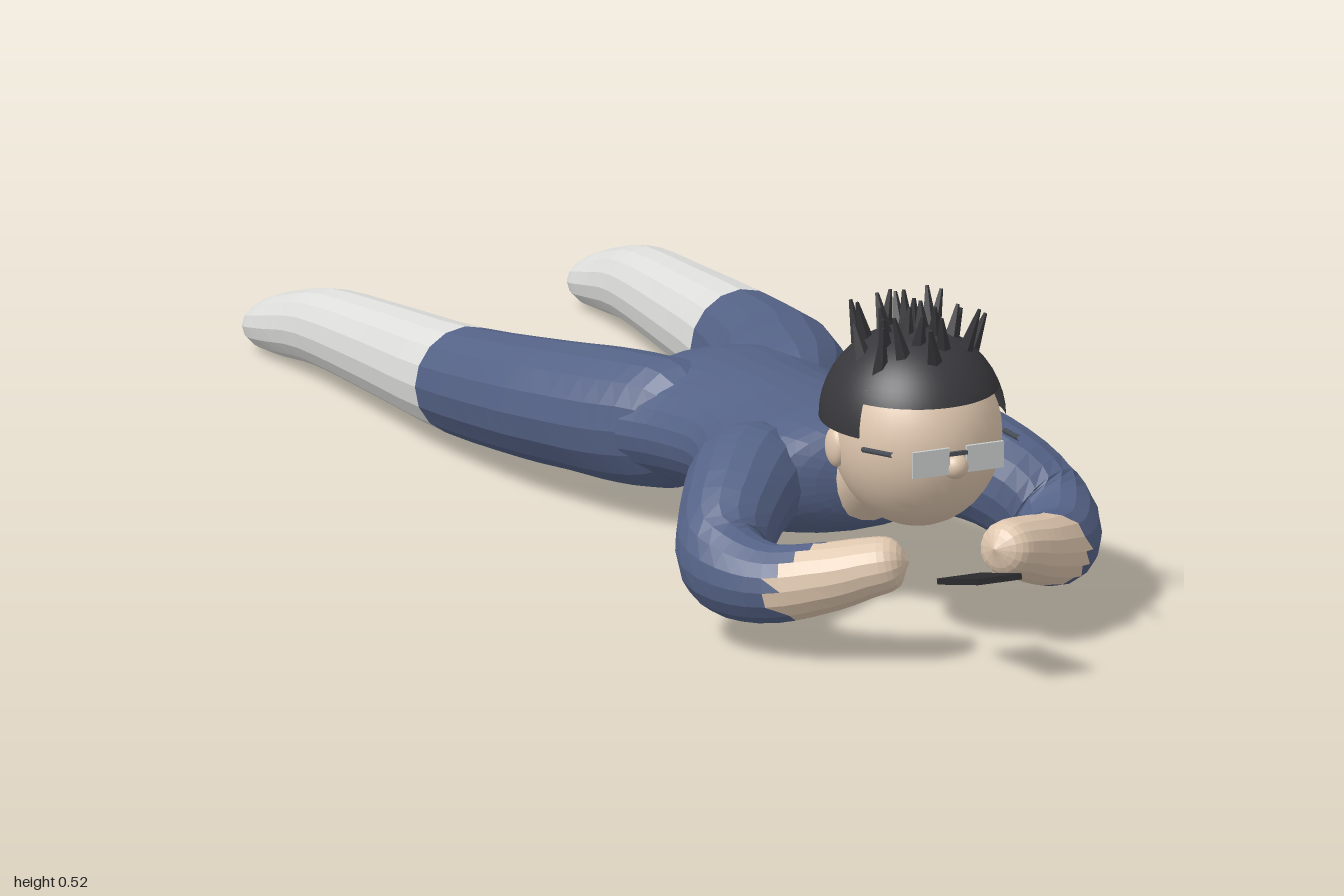
import * as THREE from 'three';

const mat = (name, color, double) => {
  const m = new THREE.MeshStandardMaterial({ color });
  m.name = name;
  if (double) m.side = THREE.DoubleSide;
  return m;
};

// Faceted loft through sections [cx, cy, cz, rx, ry]; rings follow the path when bend is true.
// Returns a list of triangles.
function loft(sections, sides, steps, bend) {
  const centres = new THREE.CatmullRomCurve3(sections.map(s => new THREE.Vector3(s[0], s[1], s[2])), false, 'catmullrom');
  const radii = new THREE.CatmullRomCurve3(sections.map(s => new THREE.Vector3(s[3], s[4], 0)), false, 'catmullrom');
  const n = (sections.length - 1) * steps;
  const sign = Math.sign(sections[sections.length - 1][2] - sections[0][2]);
  const rings = [];
  for (let i = 0; i <= n; i++) {
    const c = centres.getPoint(i / n), r = radii.getPoint(i / n);
    const t = bend ? centres.getTangent(i / n) : new THREE.Vector3(0, 0, sign);
    const s = new THREE.Vector3(0, 1, 0).cross(t).normalize();
    const u = t.clone().cross(s);
    const ring = [];
    for (let j = 0; j < sides; j++) {
      const a = (j / sides) * Math.PI * 2;
      ring.push(c.clone().addScaledVector(s, Math.cos(a) * Math.max(r.x, 0.001))
        .addScaledVector(u, Math.sin(a) * Math.max(r.y, 0.001)));
    }
    rings.push(ring);
  }
  const tris = [];
  for (let i = 0; i < n; i++) {
    for (let j = 0; j < sides; j++) {
      const k = (j + 1) % sides;
      const a = rings[i][j], b = rings[i][k], c = rings[i + 1][k], d = rings[i + 1][j];
      tris.push([a, b, c], [a, c, d]);
    }
  }
  return tris;
}

function trisToGeometry(tris) {
  const g = new THREE.BufferGeometry().setFromPoints(tris.flat());
  g.computeVertexNormals();
  return g;
}

export function createModel() {
  const model = new THREE.Group();
  model.name = 'lyingFigure';
  const suit = mat('blueSuit', 0x556387);
  const skin = mat('skin', 0xdec6ae);
  const sock = mat('paleSock', 0xdededc);
  const hair = mat('darkHair', 0x38383c, true);
  const phoneMat = mat('phoneBlack', 0x2b2b2e);
  const frame = mat('glassesFrame', 0x4a5058);
  const lens = mat('glassesLens', 0xcacccc);

  const add = (name, geometry, material, pos, scale, parent = model) => {
    const m = new THREE.Mesh(geometry, material);
    m.name = name;
    if (pos) m.position.set(...pos);
    if (scale) m.scale.set(...scale);
    parent.add(m);
    return m;
  };
  const ball = new THREE.SphereGeometry(1, 32, 20);

  // Torso: [z, half width, bottom, top]
  const torso = [
    [0.56, 0.001, 0.19, 0.20], [0.545, 0.09, 0.14, 0.255], [0.515, 0.17, 0.115, 0.28],
    [0.46, 0.22, 0.095, 0.287], [0.4, 0.215, 0.088, 0.283], [0.3, 0.17, 0.08, 0.273],
    [0.22, 0.155, 0.072, 0.267], [0.12, 0.17, 0.06, 0.258], [0.04, 0.195, 0.05, 0.252],
    [-0.02, 0.17, 0.055, 0.24], [-0.065, 0.11, 0.075, 0.215], [-0.09, 0.001, 0.135, 0.145],
  ].map(([z, w, b, t]) => [0, (b + t) / 2, z, w, (t - b) / 2]);
  add('torso', trisToGeometry(loft(torso, 28, 3)), suit);

  // Legs: [z, inner x, outer x, bottom, top]
  const leg = [
    [0.16, 0.06, 0.11, 0.12, 0.2], [0.08, 0.01, 0.178, 0.065, 0.25], [0, 0.01, 0.222, 0.05, 0.248],
    [-0.1, 0.035, 0.257, 0.045, 0.236], [-0.2, 0.083, 0.28, 0.039, 0.222], [-0.4, 0.14, 0.3, 0.026, 0.19],
    [-0.6, 0.168, 0.304, 0.022, 0.165], [-0.8, 0.19, 0.311, 0.018, 0.138], [-0.9, 0.198, 0.318, 0.006, 0.108],
    [-0.96, 0.2, 0.319, 0.001, 0.086], [-0.99, 0.215, 0.304, 0.012, 0.066], [-1, 0.259, 0.261, 0.038, 0.04],
  ];
  // Arms: [x, y, z, rx, ry] from shoulder to fingertips
  const arm = [
    [0.08, 0.2, 0.42, 0.05, 0.05], [0.15, 0.196, 0.46, 0.085, 0.084], [0.215, 0.17, 0.53, 0.078, 0.08],
    [0.262, 0.122, 0.605, 0.066, 0.072], [0.235, 0.11, 0.69, 0.057, 0.06], [0.175, 0.128, 0.755, 0.051, 0.053],
    [0.12, 0.148, 0.795, 0.047, 0.045], [0.085, 0.158, 0.818, 0.037, 0.036], [0.068, 0.161, 0.828, 0.001, 0.001],
  ];
  // Splits a limb into a suit part and an end part at a given z
  const limb = (names, tris, isEnd, endMat) => {
    const end = tris.filter(t => isEnd((t[0].z + t[1].z + t[2].z) / 3));
    const rest = tris.filter(t => !end.includes(t));
    add(names[0], trisToGeometry(rest), suit);
    add(names[1], trisToGeometry(end), endMat);
  };
  for (const m of [1, -1]) {
    const side = m > 0 ? 'left' : 'right';
    const legSections = leg.map(([z, i, o, b, t]) => [m * (i + o) / 2, (b + t) / 2, z, (o - i) / 2, (t - b) / 2]);
    limb([side + 'Leg', side + 'Sock'], loft(legSections, 16, 3), z => z < -0.4, sock);
    const armSections = arm.map(([x, ...r]) => [m * x, ...r]);
    limb([side + 'Sleeve', side + 'Hand'], loft(armSections, 16, 4, true), z => z > 0.75, skin);
  }

  // Head
  const neck = add('neck', new THREE.CylinderGeometry(0.055, 0.06, 0.14, 20), skin, [0, 0.225, 0.58]);
  neck.rotation.x = 1.0;
  add('head', ball, skin, [0, 0.315, 0.704], [0.124, 0.138, 0.132]);
  add('nose', ball, skin, [0, 0.301, 0.842], [0.019, 0.019, 0.019]);
  for (const m of [1, -1]) add('ear', ball, skin, [m * 0.12, 0.302, 0.685], [0.014, 0.03, 0.024]);

  // Hair cap: short fringe in front, lower at the sides and back
  const capPos = [0, 0.335, 0.69], capSize = [0.135, 0.135, 0.145], half = 1.055;
  add('hairFront', new THREE.SphereGeometry(1, 20, 12, Math.PI / 2 - half, 2 * half, 0, 1.19), hair, capPos, capSize);
  add('hairBack', new THREE.SphereGeometry(1, 32, 12, Math.PI / 2 + half, 2 * Math.PI - 2 * half, 0, Math.PI / 2), hair, capPos, capSize);

  // Hair spikes scattered over the crown
  let seed = 11;
  const rand = () => (seed = (seed * 16807) % 2147483647) / 2147483647;
  const spike = new THREE.CylinderGeometry(0.003, 0.015, 0.07, 5).toNonIndexed();
  spike.computeVertexNormals();
  spike.translate(0, 0.022, 0);
  const spikes = new THREE.Group();
  spikes.name = 'hairSpikes';
  model.add(spikes);
  for (let i = 0; i < 24; i++) {
    const a = i * 2.4, r = 0.095 * Math.sqrt((i + 0.5) / 24);
    const x = Math.cos(a) * r, z = Math.sin(a) * r;
    const y = 0.335 + 0.135 * Math.sqrt(1 - (x / 0.135) ** 2 - (z / 0.145) ** 2);
    const s = add('spike', spike, hair, [x, y - 0.005, 0.69 + z], [1, 0.75 + rand() * 0.4, 0.7], spikes);
    const dir = new THREE.Vector3(x * 3 + (rand() - 0.5) * 0.5, 1, z * 3 + (rand() - 0.5) * 0.5).normalize();
    s.quaternion.setFromUnitVectors(new THREE.Vector3(0, 1, 0), dir);
  }

  // Glasses
  const glasses = new THREE.Group();
  glasses.name = 'glasses';
  model.add(glasses);
  add('bridge', new THREE.BoxGeometry(0.03, 0.006, 0.005), frame, [0, 0.323, 0.85], null, glasses);
  for (const m of [1, -1]) {
    add('lens', new THREE.BoxGeometry(0.059, 0.04, 0.005), lens, [m * 0.043, 0.313, 0.85], null, glasses);
    const temple = new THREE.LineCurve3(new THREE.Vector3(m * 0.101, 0.331, 0.845), new THREE.Vector3(m * 0.113, 0.319, 0.765));
    add('temple', new THREE.TubeGeometry(temple, 1, 0.004, 6), frame, null, null, glasses);
  }

  // Phone held in front of the face
  const phone = add('phone', new THREE.BoxGeometry(0.07, 0.009, 0.15), phoneMat, [0, 0.153, 0.926]);
  phone.rotation.x = -0.27;
  return model;
}
